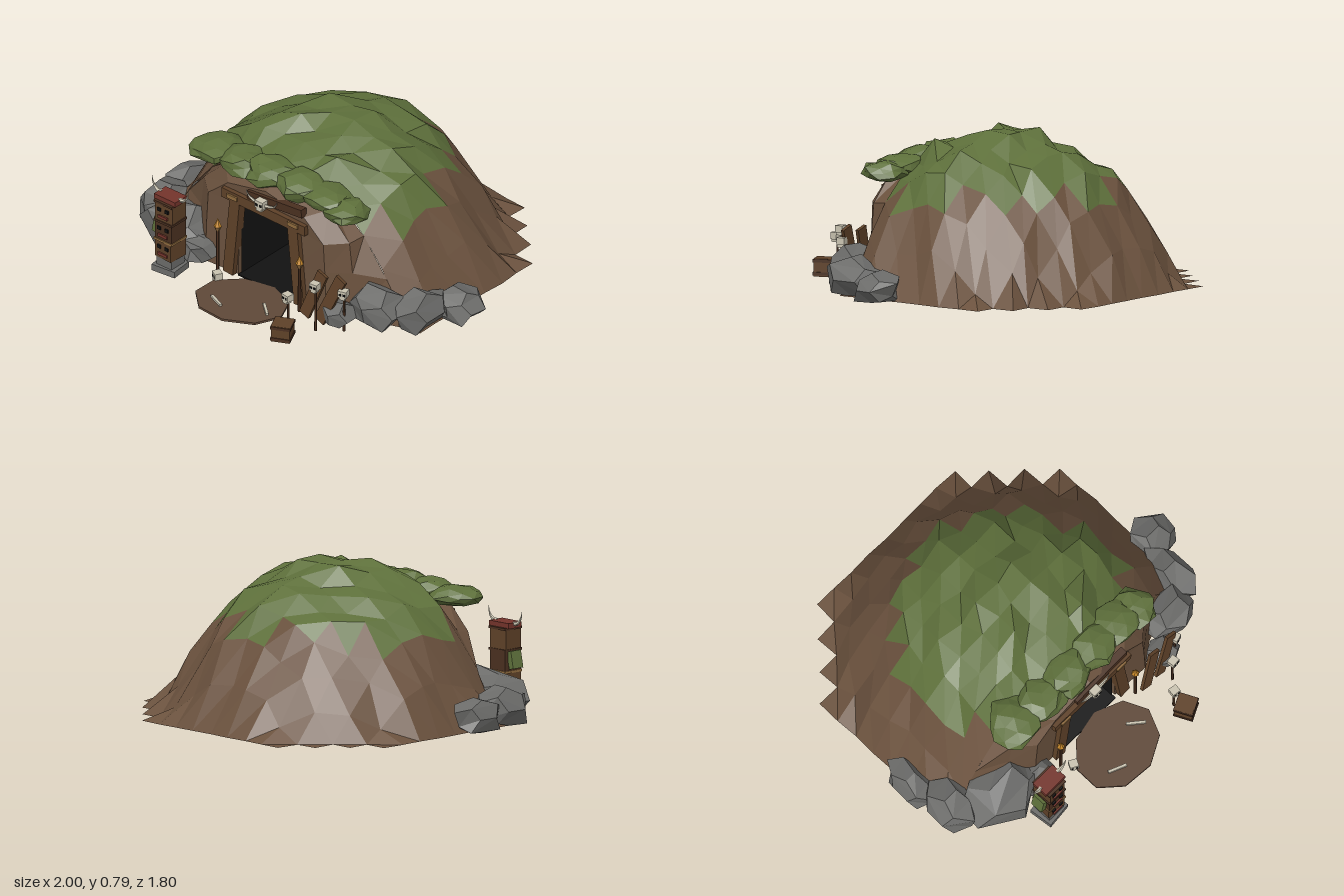
import * as THREE from 'three';

const CX = -0.03; // axis of the mound and doorway
const mat = (color, side = THREE.FrontSide) => new THREE.MeshStandardMaterial({ color, side, flatShading: true });
const M = {
  earth: mat(0x6b523e, THREE.DoubleSide), moss: mat(0x5e703b, THREE.DoubleSide), rock: mat(0x6b6b69),
  wood: mat(0x5e4128), darkWood: mat(0x4a3020), paleWood: mat(0x8f6b3e), bone: mat(0xc9c3b0),
  black: mat(0x121212), red: mat(0x74342b), flame: mat(0xc98a2b), dirt: mat(0x5f4838),
};
// repeatable noise in -0.5..0.5
const hash = (a, b, c = 0) => {
  const s = Math.sin(a * 127.1 + b * 311.7 + c * 74.7) * 43758.5453;
  return s - Math.floor(s) - 0.5;
};

export function createModel() {
  const root = new THREE.Group();
  const add = (name, geo, m, p = [0, 0, 0], r = [0, 0, 0], parent = root) => {
    const mesh = new THREE.Mesh(geo, m);
    mesh.name = name;
    mesh.position.set(...p);
    mesh.rotation.set(...r);
    parent.add(mesh);
    return mesh;
  };
  const box = (name, s, m, p, r, parent) => add(name, new THREE.BoxGeometry(...s), m, p, r, parent);
  const group = (name, x, y, z, ry = 0) => {
    const g = new THREE.Group();
    g.name = name;
    g.position.set(x, y, z);
    g.rotation.y = ry;
    root.add(g);
    return g;
  };
  const meshFrom = (pos) => {
    const g = new THREE.BufferGeometry();
    g.setAttribute('position', new THREE.Float32BufferAttribute(pos, 3));
    g.computeVertexNormals();
    return g;
  };

  // Mound: faceted height field with a stepped edge, moss on the crown
  const radius = (x, z) => Math.hypot((x - CX) / 0.87, z / 0.9);
  const step = 0.1243;
  const vertex = (i, j) => {
    const x = -0.9 + i * step, z = -0.9 + j * step, r = radius(x, z);
    const k = r < 1 ? 0.045 : 0.012, front = j === 10;
    const bump = front ? -0.05 : r < 0.95 ? 0.075 * hash(i, j, 3) : 0;
    const y = 0.76 * (1 - Math.pow(r, 2.7)) + bump;
    return [x + (front ? 0 : k * hash(i, j, 1)), Math.max(0.005, y), z + (front ? 0 : k * hash(i, j, 2))];
  };
  const soil = [], moss = [];
  for (let i = 0; i < 14; i++) for (let j = 0; j < 10; j++) {
    const r = radius(-0.9 + (i + 0.5) * step, -0.9 + (j + 0.5) * step);
    if (r > 1.1) continue;
    const a = vertex(i, j), b = vertex(i + 1, j), c = vertex(i + 1, j + 1), d = vertex(i, j + 1);
    (r + 0.08 * hash(i, j, 5) < 0.69 ? moss : soil).push(...a, ...d, ...b, ...b, ...d, ...c);
  }
  add('moundSoil', meshFrom(soil), M.earth);
  add('moundMoss', meshFrom(moss), M.moss);

  // Entrance wall: arch sections from the doorway out to the cut edge of the mound
  const arch = (z, half) => [...half, ...half.slice(0, -1).reverse().map(([x, y]) => [-x, y])].map(([x, y]) => [x + CX, y, z]);
  const door = [[-0.19, 0], [-0.185, 0.2], [-0.18, 0.43], [-0.09, 0.43], [0, 0.43]];
  const rings = [
    arch(0.34, door), arch(0.505, door),
    arch(0.515, [[-0.4, 0], [-0.39, 0.25], [-0.38, 0.41], [-0.25, 0.52], [0, 0.57]]),
    arch(0.43, [[-0.52, 0], [-0.5, 0.25], [-0.48, 0.42], [-0.34, 0.56], [0, 0.6]]),
    arch(0.342, [[-0.8, 0], [-0.65, 0.235], [-0.5, 0.43], [-0.25, 0.61], [0, 0.66]]),
    arch(0.34, door),
  ];
  const wall = [];
  for (let k = 0; k < rings.length - 1; k++) for (let i = 0; i < 8; i++) {
    const a = rings[k][i], b = rings[k][i + 1], c = rings[k + 1][i + 1], d = rings[k + 1][i];
    wall.push(...a, ...b, ...d, ...b, ...c, ...d);
  }
  add('entranceWall', meshFrom(wall), M.earth);

  // Dark passage: solid floor and back, side walls and ceiling facing inward
  box('passageBack', [0.34, 0.42, 0.01], M.black, [CX, 0.215, 0.1]);
  box('passageFloor', [0.36, 0.008, 0.42], M.black, [CX, 0.006, 0.31]);
  for (const s of [-1, 1])
    add('passageSide', new THREE.PlaneGeometry(0.4, 0.43), M.black, [CX + s * 0.175, 0.215, 0.3], [0, -s * Math.PI / 2, 0]);
  add('passageCeiling', new THREE.PlaneGeometry(0.35, 0.4), M.black, [CX, 0.425, 0.3], [Math.PI / 2, 0, 0]);

  // Boulders and overhanging moss clumps
  const lump = (name, m, geo, [x, y, z, rx, ry, rz], seed) => {
    const p = geo.attributes.position;
    for (let i = 0; i < p.count; i++) {
      const q = [p.getX(i), p.getY(i), p.getZ(i)].map((v) => Math.round(v * 100) / 100 + 0);
      const k = 1.05 + 0.34 * hash(q[0] + seed, q[1], q[2]);
      p.setXYZ(i, x + q[0] * rx * k, Math.max(0.004, y + q[1] * ry * k), z + q[2] * rz * k);
    }
    geo.computeVertexNormals();
    add(name, geo, m);
  };
  [[-0.91, 0.08, 0.11, 0.085, 0.1, 0.15], [-0.85, 0.09, 0.33, 0.12, 0.12, 0.15], [-0.63, 0.1, 0.46, 0.22, 0.14, 0.17],
    [-0.45, 0.07, 0.53, 0.1, 0.08, 0.09], [0.88, 0.07, 0.08, 0.12, 0.09, 0.12], [0.79, 0.09, 0.28, 0.1, 0.11, 0.17],
    [0.63, 0.11, 0.43, 0.16, 0.12, 0.12], [0.47, 0.06, 0.54, 0.08, 0.07, 0.08],
  ].forEach((d, i) => lump('boulder', M.rock, new THREE.DodecahedronGeometry(1), d, i + 1));
  [[-0.45, 0.6, 0.39, 0.13, 0.05, 0.13], [-0.26, 0.6, 0.4, 0.13, 0.06, 0.11], [-0.08, 0.615, 0.4, 0.14, 0.065, 0.12],
    [0.1, 0.61, 0.4, 0.13, 0.06, 0.12], [0.26, 0.6, 0.39, 0.13, 0.055, 0.12], [0.4, 0.58, 0.4, 0.11, 0.05, 0.12],
  ].forEach((d, i) => lump('mossClump', M.moss, new THREE.IcosahedronGeometry(1, 1), d, i + 20));

  // Timber door frame
  for (const s of [-1, 1]) {
    box('doorPost', [0.065, 0.45, 0.05], M.wood, [CX + s * 0.212, 0.225, 0.51], [0, 0, s * 0.1]);
    box('lintelPeg', [0.065, 0.022, 0.012], M.paleWood, [CX + s * 0.2, 0.465, 0.541]);
  }
  box('lintel', [0.55, 0.055, 0.05], M.wood, [CX, 0.46, 0.512], [0, 0, -0.02]);
  box('upperBeam', [0.36, 0.045, 0.04], M.darkWood, [0.04, 0.53, 0.512], [0, 0, 0.08]);

  // Skulls and horns
  const skull = (x, y, z, ry = 0, s = 1) => {
    const g = group('skull', x, y, z, ry);
    g.scale.setScalar(s);
    box('cranium', [0.046, 0.036, 0.042], M.bone, [0, 0.006, 0], [0, 0, 0], g);
    box('jaw', [0.03, 0.016, 0.034], M.bone, [0, -0.018, 0.003], [0, 0, 0], g);
    for (const e of [-1, 1]) box('eyeSocket', [0.012, 0.012, 0.004], M.black, [e * 0.011, 0.004, 0.021], [0, 0, 0], g);
    return g;
  };
  const horns = (parent, x0, reach, rise, r) => {
    for (const s of [-1, 1]) {
      const path = new THREE.QuadraticBezierCurve3(new THREE.Vector3(s * x0, 0, 0),
        new THREE.Vector3(s * (x0 + reach), 0.005, 0), new THREE.Vector3(s * (x0 + reach), rise, 0));
      const pts = path.getPoints(4);
      for (let i = 0; i < 4; i++) {
        const dir = pts[i + 1].clone().sub(pts[i]);
        const seg = add('horn', new THREE.CylinderGeometry(r * (3 - i) / 4, r * (4 - i) / 4, dir.length(), 5), M.bone,
          pts[i].clone().add(pts[i + 1]).multiplyScalar(0.5).toArray(), [0, 0, 0], parent);
        seg.quaternion.setFromUnitVectors(new THREE.Vector3(0, 1, 0), dir.normalize());
      }
    }
  };
  horns(skull(CX, 0.51, 0.548, 0, 1.15), 0.02, 0.07, 0.05, 0.009);
  skull(-0.26, 0.026, 0.62, -0.5);
  for (const [x, y, z, ry] of [[0.53, 0.22, 0.57, 0.3], [0.42, 0.26, 0.66, 0.1], [0.325, 0.205, 0.76, -0.15]]) {
    skull(x, y, z, ry);
    add('skullStake', new THREE.CylinderGeometry(0.006, 0.008, y, 5), M.darkWood, [x, y / 2, z - 0.005]);
  }

  // Torches
  for (const x of [-0.3, 0.24]) {
    add('torchPole', new THREE.CylinderGeometry(0.008, 0.01, 0.26, 6), M.darkWood, [x, 0.13, 0.57]);
    add('torchCup', new THREE.CylinderGeometry(0.021, 0.01, 0.025, 6), M.paleWood, [x, 0.268, 0.57]);
    add('torchFlame', new THREE.ConeGeometry(0.02, 0.05, 6), M.flame, [x, 0.305, 0.57]);
  }

  // Carved totem
  const totem = group('totem', -0.51, 0, 0.69);
  box('totemBase', [0.14, 0.035, 0.13], M.rock, [0, 0.018, 0], [0, 0.1, 0], totem);
  box('totemPlinth', [0.1, 0.05, 0.1], M.rock, [0, 0.06, 0], [0, 0, 0], totem);
  for (let i = 0; i < 3; i++) {
    const y = 0.132 + i * 0.11;
    box('totemBlock', [0.11, 0.1, 0.11], i === 1 ? M.darkWood : M.wood, [0, y, 0], [0, (i - 1) * 0.05, 0], totem);
    box('totemBand', [0.12, 0.012, 0.12], i ? M.darkWood : M.paleWood, [0, y + 0.055, 0], [0, 0, 0], totem);
    for (const s of [-1, 1]) box('totemEye', [0.022, 0.018, 0.012], M.black, [s * 0.025, y + 0.018, 0.056], [0, 0, 0], totem);
    box('totemMouth', [0.06, 0.016, 0.014], M.red, [0, y - 0.023, 0.056], [0, 0, 0], totem);
  }
  box('totemCap', [0.14, 0.028, 0.09], M.red, [0, 0.424, 0], [0, 0, 0], totem);
  const capHorns = new THREE.Group();
  capHorns.name = 'totemHorns';
  capHorns.position.y = 0.43;
  totem.add(capHorns);
  horns(capHorns, 0.06, 0.06, 0.075, 0.013);
  box('totemShield', [0.03, 0.09, 0.07], M.moss, [-0.07, 0.25, 0], [0, 0, -0.2], totem);

  // Leaning planks and crate
  for (const [x, h, tilt] of [[0.34, 0.28, -0.34], [0.45, 0.3, -0.4]])
    box('leaningPlank', [0.065, h, 0.018], M.wood, [x, h / 2 + 0.005, 0.575], [-0.12, 0, tilt]);
  const crate = group('crate', 0.345, 0, 0.82, 0.45);
  box('crateBody', [0.095, 0.09, 0.095], M.wood, [0, 0.05, 0], [0, 0, 0], crate);
  for (const y of [0.02, 0.085]) box('crateBand', [0.103, 0.016, 0.103], M.darkWood, [0, y, 0], [0, 0, 0], crate);

  // Trodden ground with scattered bones
  const ground = add('groundPatch', new THREE.CylinderGeometry(0.25, 0.25, 0.012, 9), M.dirt, [CX, 0.008, 0.7], [0, 0.2, 0]);
  ground.scale.z = 0.8;
  for (const [x, z, a] of [[-0.12, 0.79, -0.4], [0.12, 0.69, -0.7]])
    box('looseBone', [0.1, 0.012, 0.014], M.bone, [x, 0.02, z], [0, a, 0]);

  return root;
}
